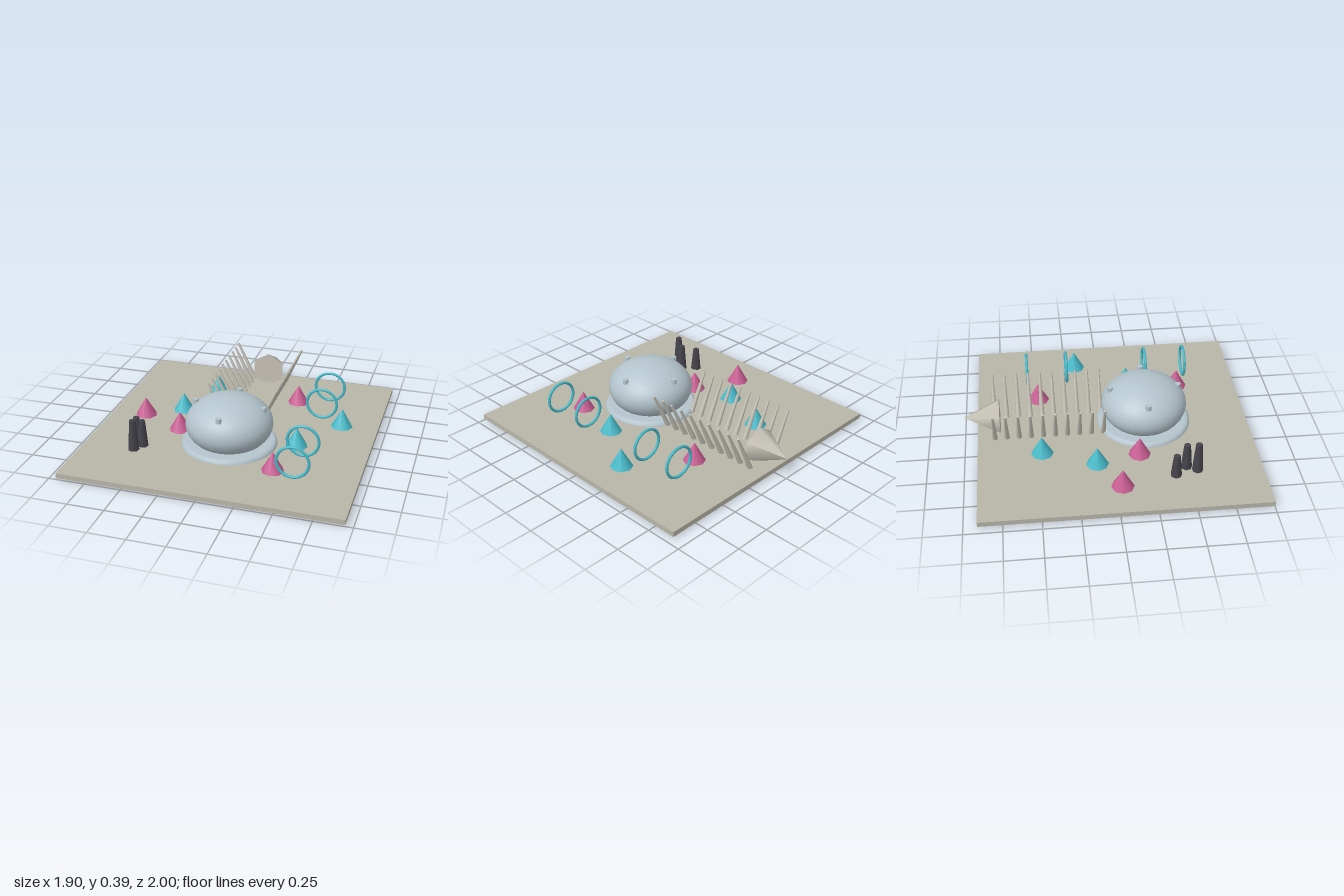
import * as THREE from 'three';

const mat = (name, color) => {
  const m = new THREE.MeshStandardMaterial({ color });
  m.name = name;
  return m;
};

export function createModel() {
  const model = new THREE.Group();
  const sand = mat('sand', 0xb8b4a8);
  const bone = mat('bone', 0xc4c0b5);
  const metal = mat('paleMetal', 0xb4c4cc);
  const teal = mat('teal', 0x46bac9);
  const pink = mat('pink', 0xc85c92);
  const dark = mat('darkStone', 0x45434c);
  const facetedDark = dark;

  const add = (name, geometry, material, x, y, z) => {
    const mesh = new THREE.Mesh(geometry, material);
    mesh.name = name;
    mesh.position.set(x, y, z);
    model.add(mesh);
    return mesh;
  };

  const top = 0.045; // ground height
  const domeZ = 0.265;

  // Ground slab
  add('ground', new THREE.BoxGeometry(1.9, 0.035, 1.91), sand, 0, top - 0.0175, 0.045);

  // Flattened dome, its skirt and four studs
  add('dome', new THREE.SphereGeometry(0.3, 32, 20).scale(1, 0.65, 1), metal, 0, 0.195, domeZ);
  const skirt = [[0.33, 0], [0.326, 0.015], [0.315, 0.026], [0.3, 0.03], [0, 0.03]]
    .map(([r, y]) => new THREE.Vector2(r, y));
  add('domeSkirt', new THREE.LatheGeometry(skirt, 32), metal, 0, top, domeZ);
  for (let i = 0; i < 4; i++) {
    const a = (i * Math.PI) / 2;
    add('stud', new THREE.CylinderGeometry(0.02, 0.02, 0.035, 10), metal,
      0.238 * Math.cos(a), 0.322, domeZ + 0.238 * Math.sin(a));
  }

  // Two rows of ribs leaning outward
  const from = new THREE.Vector3(0.118, 0.04, 0);
  const to = new THREE.Vector3(0.252, 0.325, 0);
  const along = to.clone().sub(from);
  const rib = new THREE.CylinderGeometry(0.008, 0.019, along.length(), 8);
  for (let i = 0; i < 10; i++) {
    for (const side of [-1, 1]) {
      const m = add('rib', rib, bone, side * (from.x + to.x) / 2, (from.y + to.y) / 2, -0.033 - i * 0.0842);
      m.rotation.z = -side * Math.atan2(along.x, along.y);
    }
  }

  // Six-sided skull cone pointing backward
  add('skull', new THREE.ConeGeometry(0.13, 0.25, 6), bone, 0, 0.15, -0.875).rotation.x = -Math.PI / 2;

  // Eight-sided coral cones
  const coral = new THREE.ConeGeometry(0.08, 0.14, 8);
  const corals = [
    [teal, [[-0.31, -0.47], [-0.46, -0.105], [0.455, 0.19], [0.695, -0.18]]],
    [pink, [[0.31, -0.47], [-0.7, 0.04], [-0.385, 0.19], [0.385, 0.56]]],
  ];
  for (const [material, spots] of corals) {
    for (const [x, z] of spots) add('coral', coral, material, x, 0.11, z);
  }

  // Upright hoops
  const hoop = new THREE.TorusGeometry(0.108, 0.01, 8, 32);
  for (const z of [-0.543, -0.25, 0.337, 0.63]) add('hoop', hoop, teal, 0.531, 0.167, z);

  // Cluster of tapered chimneys
  for (const [x, z, h] of [[-0.625, 0.405, 0.165], [-0.55, 0.485, 0.19], [-0.588, 0.555, 0.22]]) {
    add('chimney', new THREE.CylinderGeometry(0.022, 0.038, h, 7), facetedDark, x, top + h / 2, z);
  }

  return model;
}
